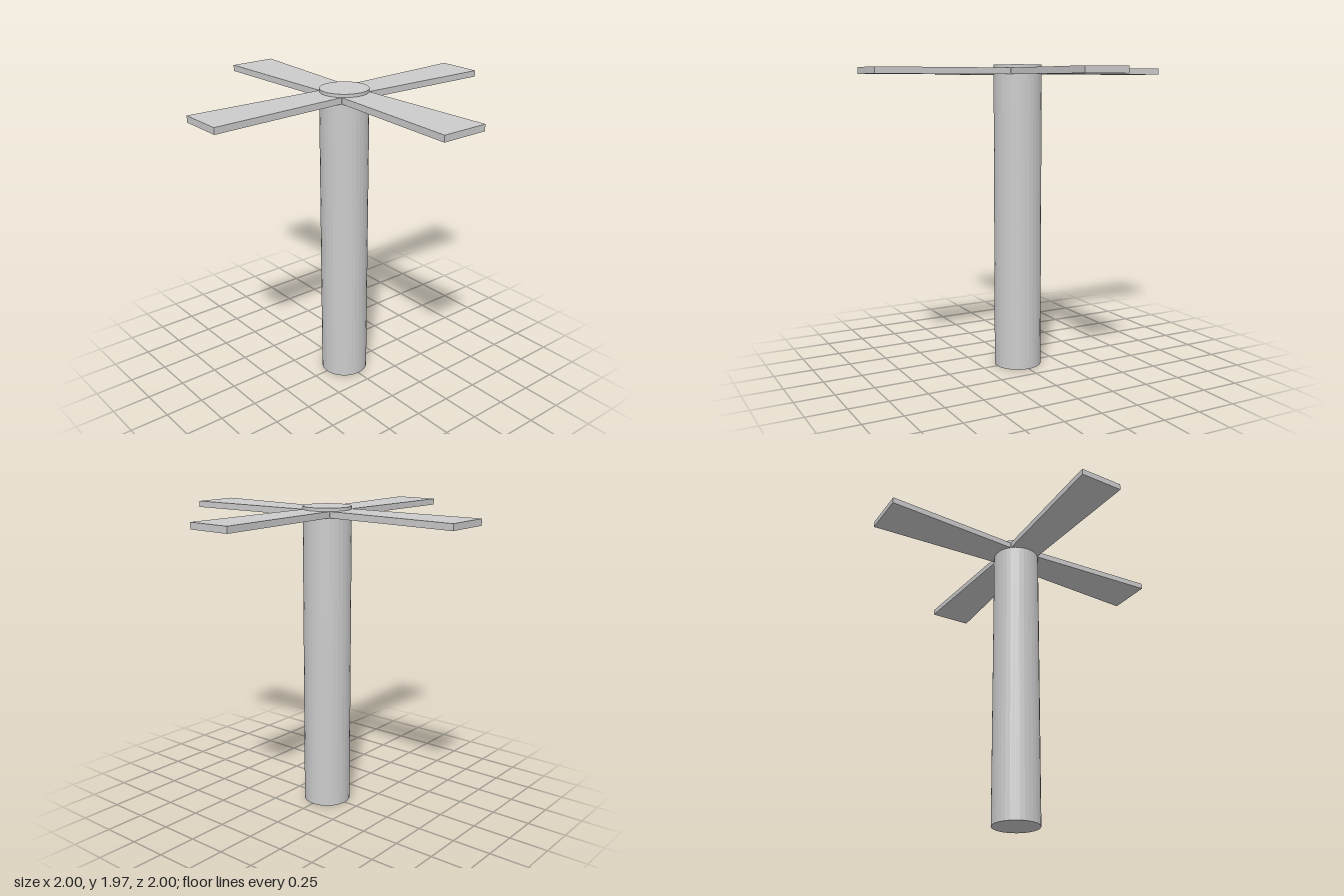
import * as THREE from 'three';

const material = new THREE.MeshStandardMaterial({ color: 0xcccccc, flatShading: true });

// Flat blade along +x, widening from the hub to the tip
function makeBlade(name, tipHalfWidth, angle) {
  const rootHalfWidth = 0.102;
  const outline = new THREE.Shape([
    new THREE.Vector2(0, -rootHalfWidth),
    new THREE.Vector2(1, -tipHalfWidth),
    new THREE.Vector2(1, tipHalfWidth),
    new THREE.Vector2(0, rootHalfWidth),
  ]);
  const geometry = new THREE.ExtrudeGeometry(outline, { depth: 0.04, bevelEnabled: false });
  geometry.rotateX(-Math.PI / 2);
  const blade = new THREE.Mesh(geometry, material);
  blade.name = name;
  blade.position.y = 1.905;
  blade.rotation.y = angle;
  return blade;
}

export function createModel() {
  const model = new THREE.Group();
  model.name = 'bladedColumn';

  // Round column whose top stands just above the blades
  const height = 1.965;
  const column = new THREE.Mesh(new THREE.CylinderGeometry(0.153, 0.153, height, 32), material);
  column.name = 'column';
  column.position.y = height / 2;
  model.add(column);

  // Four blades in a cross; the side pair is slightly wider
  const names = ['leftBlade', 'backBlade', 'rightBlade', 'frontBlade'];
  names.forEach((name, i) => {
    model.add(makeBlade(name, i % 2 === 0 ? 0.153 : 0.143, i * Math.PI / 2));
  });

  return model;
}
